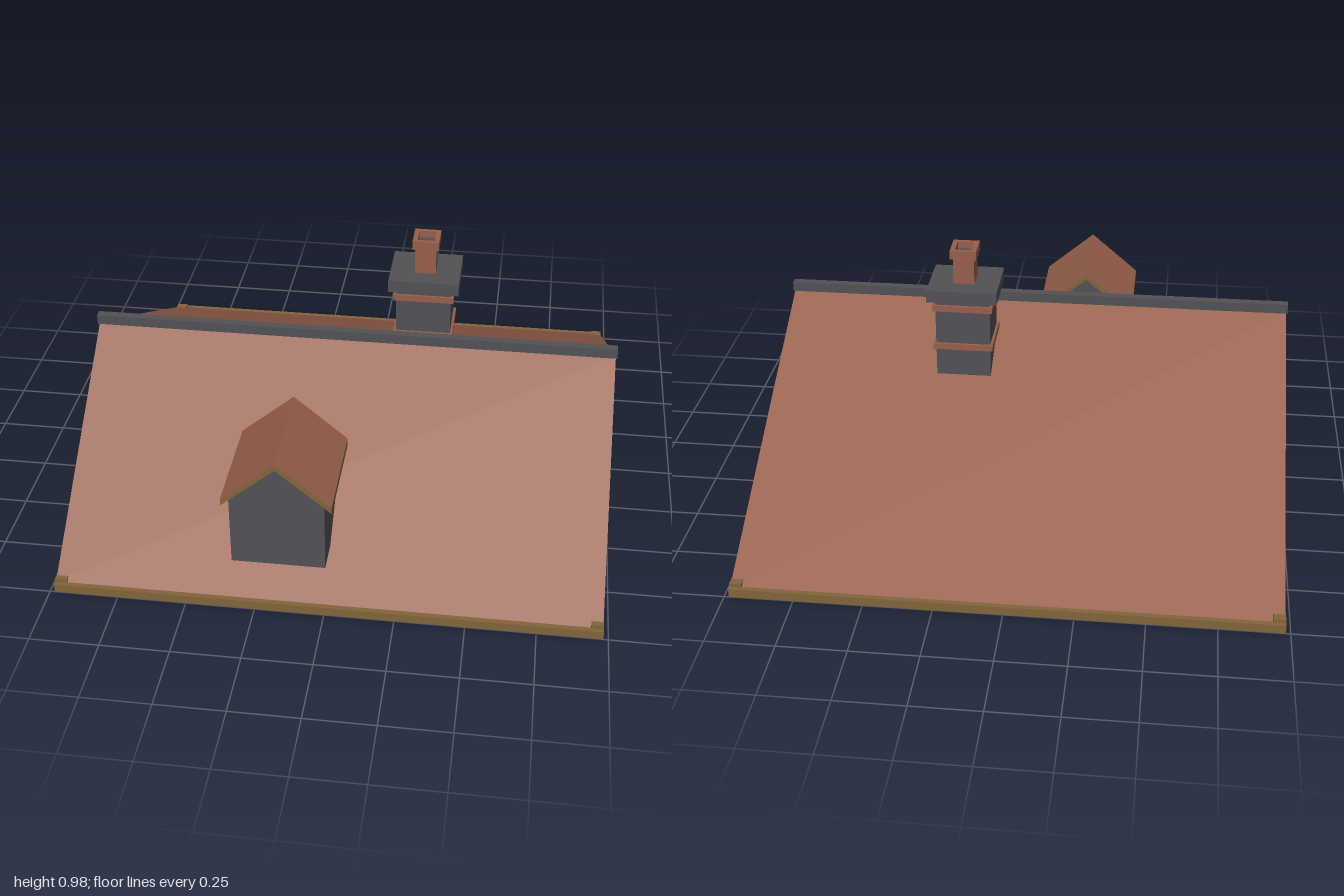
import * as THREE from 'three';

const mat = (name, color, side = THREE.FrontSide) => {
  const m = new THREE.MeshStandardMaterial({ color, side });
  m.name = name;
  return m;
};

export function createModel() {
  const model = new THREE.Group();
  const tile = mat('clayTile', 0x965f4a, THREE.DoubleSide);
  const slate = mat('slateGrey', 0x525256, THREE.DoubleSide);
  const wood = mat('timber', 0x82653b);

  const add = (name, geometry, material, parent = model) => {
    const mesh = new THREE.Mesh(geometry, material);
    mesh.name = name;
    parent.add(mesh);
    return mesh;
  };
  // Box given by its limits on each axis
  const box = (name, m, [x0, x1], [y0, y1], [z0, z1], parent) => {
    const b = add(name, new THREE.BoxGeometry(x1 - x0, y1 - y0, z1 - z0), m, parent);
    b.position.set((x0 + x1) / 2, (y0 + y1) / 2, (z0 + z1) / 2);
    return b;
  };
  const shape = (pts) => new THREE.Shape(pts.map(([x, y]) => new THREE.Vector2(x, y)));
  // Flat panel or extrusion drawn in (z, y) and placed at x
  const sidePanel = (name, pts, x, m, parent) => {
    const p = add(name, new THREE.ShapeGeometry(shape(pts)), m, parent);
    p.rotation.y = -Math.PI / 2;
    p.position.x = x;
    return p;
  };
  // Solid drawn in (x, y) and extruded from z0 to z1
  const prism = (name, pts, z0, z1, m, parent) => {
    const p = add(name, new THREE.ExtrudeGeometry(shape(pts), { depth: z1 - z0, bevelEnabled: false }), m, parent);
    p.position.z = z0;
    return p;
  };

  const RIDGE_Z = 0.18, RIDGE_Y = 0.65, EAVE_Y = 0.03, HALF = 0.98;

  // Main roof slopes
  for (const [name, ze] of [['frontSlope', HALF], ['backSlope', -HALF]]) {
    const len = Math.hypot(ze - RIDGE_Z, RIDGE_Y - EAVE_Y);
    const slope = add(name, new THREE.BoxGeometry(2 * HALF, 0.006, len), tile);
    slope.position.set(0, (RIDGE_Y + EAVE_Y) / 2 + 0.003, (ze + RIDGE_Z) / 2);
    slope.rotation.x = Math.atan((RIDGE_Y - EAVE_Y) / (ze - RIDGE_Z));
  }
  box('ridgeCap', slate, [-0.985, 0.985], [0.652, 0.69], [0.165, 0.197]);

  // Gable ends with their timber frames
  for (const s of [-1, 1]) {
    const gable = new THREE.Group();
    gable.name = s > 0 ? 'leftGable' : 'rightGable';
    model.add(gable);
    sidePanel('gableWall', [[-0.97, 0.03], [0.97, 0.03], [RIDGE_Z, 0.645]], s * 0.965, slate, gable);
    const xs = [s * 0.965 - 0.014, s * 0.965 + 0.014];
    box('tieBeam', wood, xs, [0.015, 0.045], [-0.98, 0.98], gable);
    box('kingPost', wood, xs, [0.03, 0.64], [RIDGE_Z - 0.013, RIDGE_Z + 0.013], gable);
    for (const ze of [HALF, -HALF]) {
      const len = Math.hypot(ze - RIDGE_Z, RIDGE_Y - EAVE_Y);
      const rafter = add('rafter', new THREE.BoxGeometry(0.028, 0.022, len), wood, gable);
      rafter.position.set(s * 0.965, (RIDGE_Y + EAVE_Y) / 2 - 0.012, (ze + RIDGE_Z) / 2);
      rafter.rotation.x = Math.atan((RIDGE_Y - EAVE_Y) / (ze - RIDGE_Z));
      const z = Math.sign(ze) * 0.965;
      box('cornerBlock', wood, [s * 0.96 - 0.022, s * 0.96 + 0.022], [0.02, 0.05], [z - 0.02, z + 0.02], gable);
    }
  }
  // Eave beams
  for (const s of [-1, 1]) {
    box('eaveBeam', wood, [-0.983, 0.983], [0.003, 0.036], [s * 0.985 - 0.015, s * 0.985 + 0.015]);
  }

  // Dormer
  const dormer = new THREE.Group();
  dormer.name = 'dormer';
  model.add(dormer);
  const cx = -0.17;
  prism('dormerFront', [[cx - 0.168, 0.165], [cx + 0.168, 0.165], [cx + 0.168, 0.43], [cx, 0.588], [cx - 0.168, 0.43]],
    0.925, 0.935, slate, dormer);
  for (const s of [-1, 1]) {
    sidePanel('dormerCheek', [[0.57, 0.165], [0.93, 0.165], [0.93, 0.435], [0.57, 0.435]], cx + s * 0.168, slate, dormer);
  }
  prism('dormerBackGable', [[cx - 0.168, 0.43], [cx + 0.168, 0.43], [cx, 0.588]], 0.56, 0.57, slate, dormer);
  box('dormerBackSill', slate, [cx - 0.168, cx + 0.168], [0.19, 0.27], [0.555, 0.57], dormer);
  // Timber window frame at the back of the dormer
  for (const dx of [-0.155, 0, 0.155]) {
    box('framePost', wood, [cx + dx - 0.012, cx + dx + 0.012], [0.27, 0.44], [0.55, 0.572], dormer);
  }
  for (const y of [0.28, 0.35, 0.425]) {
    box('frameRail', wood, [cx - 0.165, cx + 0.165], [y - 0.009, y + 0.009], [0.552, 0.57], dormer);
  }
  // Dormer roof: timber lining below, tile skin above
  const chevron = (top, t) => [
    [cx - 0.195, top - 0.167], [cx - 0.195, top - 0.167 - t], [cx, top - t],
    [cx + 0.195, top - 0.167 - t], [cx + 0.195, top - 0.167], [cx, top]];
  prism('dormerRoofLining', chevron(0.604, 0.021), 0.535, 0.945, wood, dormer);
  prism('dormerRoofTiles', chevron(0.611, 0.007), 0.535, 0.945, tile, dormer);

  // Chimney
  const chimney = new THREE.Group();
  chimney.name = 'chimney';
  chimney.position.set(0.25, 0, -0.055);
  model.add(chimney);
  const block = (name, m, w, d, y0, y1) =>
    box(name, m, [-w / 2, w / 2], [y0, y1], [-d / 2, d / 2], chimney);
  block('stack', slate, 0.208, 0.186, 0.27, 0.80);
  for (const y of [0.463, 0.605, 0.765]) block('brickBand', tile, 0.228, 0.206, y - 0.012, y + 0.012);
  block('stackCap', slate, 0.266, 0.236, 0.797, 0.845);
  block('pot', tile, 0.08, 0.085, 0.845, 0.952);
  // Hollow pot rim with a dark floor
  const rim = shape([[-0.05, -0.053], [0.05, -0.053], [0.05, 0.053], [-0.05, 0.053]]);
  rim.holes.push(new THREE.Path([[-0.032, -0.036], [-0.032, 0.036], [0.032, 0.036], [0.032, -0.036]]
    .map(([x, y]) => new THREE.Vector2(x, y))));
  const rimMesh = add('potRim', new THREE.ExtrudeGeometry(rim, { depth: 0.035, bevelEnabled: false }), tile, chimney);
  rimMesh.rotation.x = -Math.PI / 2;
  rimMesh.position.y = 0.948;
  block('potFlue', slate, 0.064, 0.072, 0.952, 0.957);

  return model;
}
